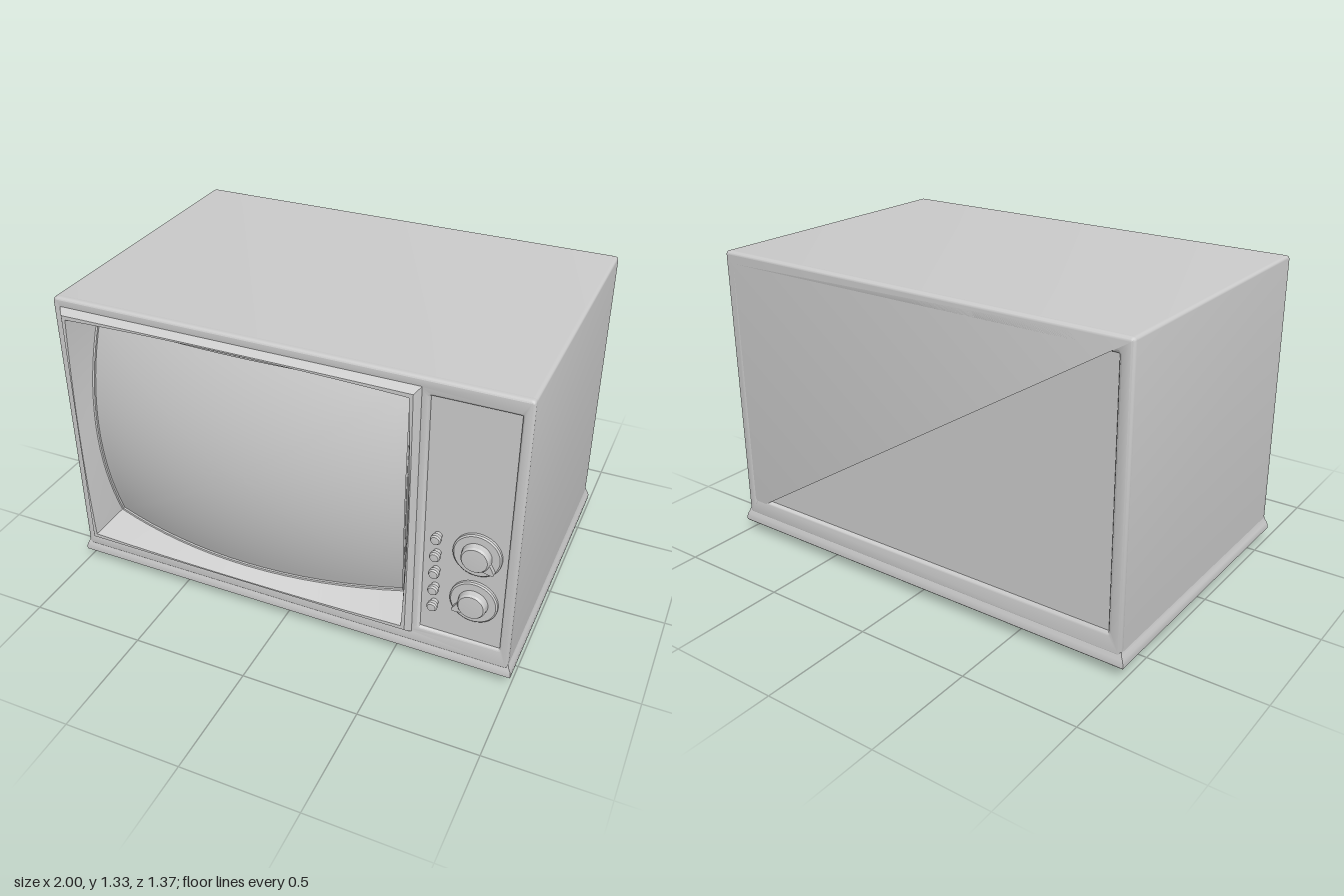
import * as THREE from 'three';
import { toCreasedNormals } from 'three/addons/utils/BufferGeometryUtils.js';

const grey = new THREE.MeshStandardMaterial({ color: 0xcccccc, side: THREE.DoubleSide });

function add(parent, name, geometry, x = 0, y = 0, z = 0) {
  const mesh = new THREE.Mesh(geometry, grey);
  mesh.name = name;
  mesh.position.set(x, y, z);
  parent.add(mesh);
  return mesh;
}

// Skin over closed rings that all have the same number of points
function loft(rings, crease) {
  const n = rings[0].length;
  const index = [];
  for (let i = 0; i < rings.length - 1; i++) {
    for (let j = 0; j < n; j++) {
      const a = i * n + j, b = i * n + (j + 1) % n;
      index.push(a, b, a + n, b, b + n, a + n);
    }
  }
  const geometry = new THREE.BufferGeometry().setFromPoints(rings.flat());
  geometry.setIndex(index);
  return toCreasedNormals(geometry, crease);
}

// Rounded rectangle path between two corners
function roundedRect(path, x0, y0, x1, y1, r) {
  path.moveTo(x0 + r, y0);
  path.lineTo(x1 - r, y0);
  path.quadraticCurveTo(x1, y0, x1, y0 + r);
  path.lineTo(x1, y1 - r);
  path.quadraticCurveTo(x1, y1, x1 - r, y1);
  path.lineTo(x0 + r, y1);
  path.quadraticCurveTo(x0, y1, x0, y1 - r);
  path.lineTo(x0, y0 + r);
  path.quadraticCurveTo(x0, y0, x0 + r, y0);
  return path;
}

// Plate with softened edges and rectangular openings, lying between z0 and z1
function plate(outline, holes, z0, z1, bevel) {
  const shape = roundedRect(new THREE.Shape(), ...outline, 0.018);
  for (const hole of holes) shape.holes.push(roundedRect(new THREE.Path(), ...hole, 0.004));
  const geometry = new THREE.ExtrudeGeometry(shape, {
    depth: z1 - z0 - 2 * bevel, bevelEnabled: bevel > 0, bevelThickness: bevel,
    bevelSize: bevel, bevelOffset: -bevel, bevelSegments: 3, curveSegments: 5,
  });
  geometry.translate(0, 0, z0 + bevel);
  return toCreasedNormals(geometry, 0.7);
}

// Screen surface and barrel-shaped rings around its centre
const CX = -0.187, CY = 0.718;
const screenZ = (x, y) => 0.68 - 0.22 * x * x - 0.35 * y * y;

function barrel(hx, hy, bulgeX, bulgeY, zAt, scale = 1) {
  const points = [];
  const steps = 16;
  for (let side = 0; side < 4; side++) {
    for (let i = 0; i < steps; i++) {
      const t = -1 + 2 * i / steps;
      const bow = 1 - t * t;
      const [x, y] = [
        [t * hx, -hy - bulgeY * bow], [hx + bulgeX * bow, t * hy],
        [-t * hx, hy + bulgeY * bow], [-hx - bulgeX * bow, -t * hy],
      ][side];
      points.push(new THREE.Vector3(x * scale, y * scale, zAt(x * scale, y * scale)));
    }
  }
  return points;
}

// Rotary control: flat dial, stepped knob and pointer
function rotaryControl(angle) {
  const group = new THREE.Group();
  const profile = [[0, 0], [0.097, 0], [0.097, 0.012], [0.091, 0.017], [0.06, 0.017],
    [0.057, 0.04], [0.051, 0.048], [0, 0.05]].map(p => new THREE.Vector2(...p));
  const dial = new THREE.LatheGeometry(profile, 40);
  dial.rotateX(Math.PI / 2);
  add(group, 'dialKnob', toCreasedNormals(dial, 0.5));
  const tip = new THREE.Shape();
  tip.moveTo(0.04, -0.03);
  tip.lineTo(0.092, -0.005);
  tip.lineTo(0.092, 0.005);
  tip.lineTo(0.04, 0.03);
  tip.closePath();
  const pointer = new THREE.ExtrudeGeometry(tip, { depth: 0.02, bevelEnabled: false });
  add(group, 'pointer', pointer, 0, 0, 0.016).rotation.z = angle;
  return group;
}

export function createModel() {
  const model = new THREE.Group();
  model.name = 'television';

  // Cabinet: front plate, thin sleeve open below, back plate
  const outline = [-0.985, 0.09, 0.985, 1.33];
  const controls = [0.61, 0.18, 0.943, 1.262];
  const backOpening = [-0.925, 0.18, 0.925, 1.265];
  add(model, 'cabinetFront', plate(outline,
    [[CX - 0.755, CY - 0.565, CX + 0.755, CY + 0.565], controls], 0.59, 0.625, 0.01));
  add(model, 'cabinetBack', plate(outline, [backOpening], -0.677, -0.64, 0.014));

  const sleeve = new THREE.Shape();
  sleeve.moveTo(-0.985, 0.09);
  sleeve.lineTo(-0.985, 1.312);
  sleeve.quadraticCurveTo(-0.985, 1.33, -0.967, 1.33);
  sleeve.lineTo(0.967, 1.33);
  sleeve.quadraticCurveTo(0.985, 1.33, 0.985, 1.312);
  sleeve.lineTo(0.985, 0.09);
  sleeve.lineTo(0.965, 0.09);
  sleeve.lineTo(0.965, 1.31);
  sleeve.lineTo(-0.965, 1.31);
  sleeve.lineTo(-0.965, 0.09);
  sleeve.closePath();
  const walls = new THREE.ExtrudeGeometry(sleeve, { depth: 1.262, bevelEnabled: false, curveSegments: 5 });
  walls.translate(0, 0, -0.661);
  add(model, 'cabinetWalls', toCreasedNormals(walls, 0.7));

  // Recessed back cover
  add(model, 'backPanel', new THREE.BoxGeometry(1.86, 1.095, 0.012), 0, 0.7225, -0.656);

  // Flared plinth running into a thin-walled hollow foot: [half width, half depth, y]
  const section = [[0.984, 0.646, 0.115], [0.988, 0.65, 0.1], [0.996, 0.655, 0.085], [1, 0.658, 0.07],
    [1, 0.658, 0.055], [0.995, 0.653, 0.05], [0.895, 0.55, 0.05], [0.895, 0.55, 0],
    [0.88, 0.535, 0], [0.88, 0.535, 0.065], [0.97, 0.64, 0.065]];
  const plinth = section.map(([hx, hz, y]) => [[-1, -1], [1, -1], [1, 1], [-1, 1]]
    .map(([sx, sz]) => new THREE.Vector3(sx * hx, y, sz * hz)));
  add(model, 'plinthAndFoot', loft(plinth, 0.6), 0, 0, -0.027);

  // Raised screen surround, sloping back to the edge of the tube
  const flat = z => () => z;
  add(model, 'screenSurround', loft([
    barrel(0.765, 0.575, 0, 0, flat(0.595)),
    barrel(0.765, 0.575, 0, 0, flat(0.626)),
    barrel(0.752, 0.562, 0, 0, flat(0.646)),
    barrel(0.744, 0.553, 0.002, 0.002, flat(0.655)),
    barrel(0.728, 0.536, 0.014, 0.013, flat(0.655)),
    barrel(0.685, 0.486, 0.022, 0.028, (x, y) => screenZ(x, y) + 0.014),
    barrel(0.678, 0.479, 0.022, 0.028, (x, y) => screenZ(x, y) + 0.01),
    barrel(0.678, 0.479, 0.022, 0.028, (x, y) => screenZ(x, y) - 0.01),
  ], 0.45), CX, CY, 0);

  // Bulging screen
  const screenRings = [];
  for (let i = 0; i <= 14; i++) screenRings.push(barrel(0.68, 0.481, 0.022, 0.028, screenZ, 1 - i / 14));
  add(model, 'screen', loft(screenRings, 0.6), CX, CY, 0);

  // Control panel set slightly into the front
  add(model, 'controlPanel', new THREE.BoxGeometry(0.345, 1.094, 0.012), 0.7765, 0.721, 0.608);

  // Two rotary controls
  [[0.615, -0.65], [0.385, -2.6]].forEach(([y, angle], i) => {
    const control = rotaryControl(angle);
    control.name = i ? 'lowerControl' : 'upperControl';
    control.position.set(0.825, y, 0.613);
    model.add(control);
  });

  // Column of push buttons
  const buttonProfile = [[0, 0], [0.016, 0], [0.016, 0.018], [0.022, 0.022], [0.022, 0.036],
    [0.017, 0.043], [0, 0.045]].map(p => new THREE.Vector2(...p));
  const button = new THREE.LatheGeometry(buttonProfile, 24);
  button.rotateX(Math.PI / 2);
  const buttonGeometry = toCreasedNormals(button, 0.6);
  for (let i = 0; i < 5; i++) add(model, 'pushButton', buttonGeometry, 0.665, 0.655 - i * 0.083, 0.612);

  return model;
}
